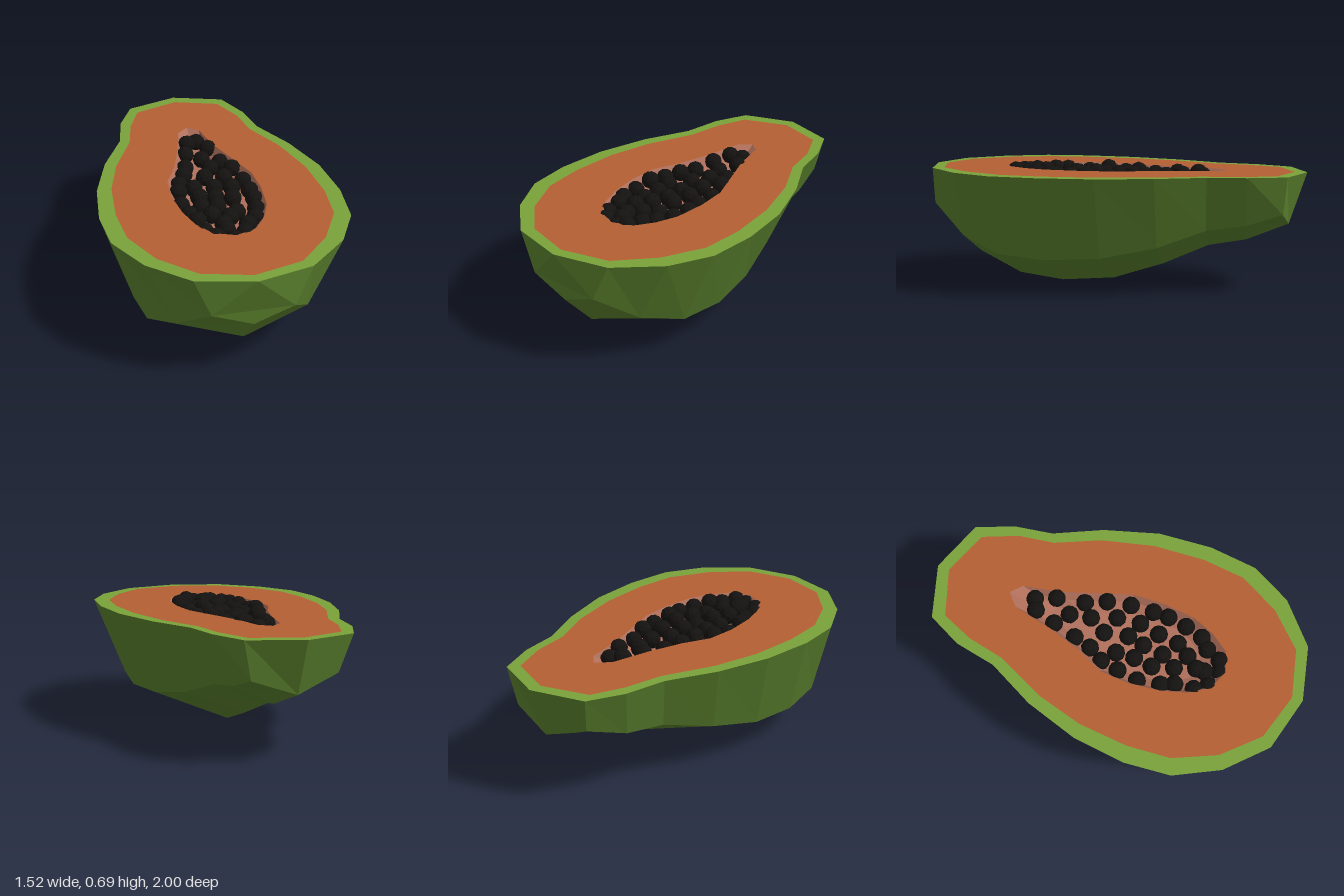
import * as THREE from 'three';

// Height of the cut face, which tips very slightly towards the neck
const cutY = (x, z) => 0.658 + 0.004 * x + 0.006 * z;

const material = (color, extra = {}) =>
  new THREE.MeshStandardMaterial({ color, flatShading: true, ...extra });

function addMesh(group, name, geometry, mat) {
  const mesh = new THREE.Mesh(geometry, mat);
  mesh.name = name;
  group.add(mesh);
  return mesh;
}

// Joins neighbouring cross-sections with triangles, skipping collapsed ones
function loft(sections, caps = []) {
  const pos = [];
  const tri = (a, b, c) => {
    const [A, B, C] = [a, b, c].map((p) => new THREE.Vector3(...p));
    if (B.sub(A).cross(C.sub(A)).length() > 1e-6) pos.push(...a, ...b, ...c);
  };
  for (let i = 0; i < sections.length - 1; i++) {
    for (let j = 0; j < sections[i].length - 1; j++) {
      const a = sections[i][j], b = sections[i][j + 1];
      const c = sections[i + 1][j + 1], d = sections[i + 1][j];
      tri(a, b, c);
      tri(a, c, d);
    }
  }
  for (const cap of caps) {
    for (let j = 1; j < cap.length - 1; j++) tri(cap[0], cap[j], cap[j + 1]);
  }
  const geometry = new THREE.BufferGeometry();
  geometry.setAttribute('position', new THREE.Float32BufferAttribute(pos, 3));
  geometry.computeVertexNormals();
  return geometry;
}

// Flat piece of the cut face, bounded by an outline and a hole of [x, z] points
function cutFace(outline, hole) {
  const toPoints = (list) => list.map(([x, z]) => new THREE.Vector2(x, -z));
  const shape = new THREE.Shape(toPoints(outline));
  shape.holes.push(new THREE.Path(toPoints(hole)));
  const geometry = new THREE.ShapeGeometry(shape).rotateX(-Math.PI / 2);
  const p = geometry.attributes.position;
  for (let i = 0; i < p.count; i++) p.setY(i, cutY(p.getX(i), p.getZ(i)));
  return geometry;
}

export function createModel() {
  const group = new THREE.Group();
  group.name = 'halvedFruit';

  // Cut edge on each side, from the round front end to the neck
  const edgeLeft = [[0.43, 0.92], [0.66, 0.72], [0.76, 0.45], [0.76, 0.2], [0.66, -0.05],
    [0.5, -0.3], [0.28, -0.52], [0.05, -0.69], [-0.08, -0.86], [-0.25, -1]];
  const edgeRight = [[0.13, 0.995], [-0.14, 0.92], [-0.36, 0.77], [-0.5, 0.56], [-0.61, 0.29],
    [-0.67, -0.01], [-0.68, -0.3], [-0.75, -0.52], [-0.76, -0.73], [-0.55, -0.95]];

  // Lower part of each cross-section: left shoulder, keel, right shoulder
  const nose = [0.21, 0.45, 0.96], stem = [-0.5, 0.365, -0.87];
  const belly = [
    [nose, nose, nose],
    [[0.59, 0.46, 0.78], [0.4, 0.37, 0.865], [0, 0.3, 0.865]],
    [[0.61, 0.3, 0.54], [0.31, 0.155, 0.7], [-0.19, 0.22, 0.76]],
    [[0.6, 0.22, 0.29], [0.2, 0.035, 0.49], [-0.33, 0.19, 0.56]],
    [[0.5, 0.2, 0.04], [0.08, 0, 0.27], [-0.44, 0.2, 0.31]],
    [[0.33, 0.21, -0.2], [-0.05, 0.025, 0], [-0.53, 0.27, 0.02]],
    [[0.13, 0.265, -0.43], [-0.17, 0.12, -0.26], [-0.57, 0.35, -0.27]],
    [[-0.06, 0.355, -0.62], [-0.28, 0.235, -0.49], [-0.65, 0.38, -0.49]],
    [[-0.17, 0.385, -0.8], [-0.37, 0.275, -0.68], [-0.69, 0.45, -0.71]],
    [[-0.28, 0.445, -0.96], stem, stem],
  ];
  const onCut = ([x, z]) => [x, cutY(x, z), z];
  const hull = belly.map((low, i) => [onCut(edgeLeft[i]), ...low, onCut(edgeRight[i])]);
  const last = hull[hull.length - 1];
  const caps = [[hull[0][4], nose, hull[0][0]], [last[0], last[1], stem, last[4]]];
  addMesh(group, 'skin', loft(hull, caps), material(0x5a802d));

  // Pale rind band, flesh and the opening of the seed cavity
  const outline = [...edgeLeft, ...[...edgeRight].reverse()];
  const fleshEdge = [[0.4, 0.87], [0.6, 0.69], [0.67, 0.45], [0.67, 0.2], [0.58, -0.02],
    [0.43, -0.26], [0.23, -0.48], [0.02, -0.64], [-0.1, -0.8], [-0.26, -0.93],
    [-0.52, -0.89], [-0.7, -0.69], [-0.68, -0.5], [-0.62, -0.3], [-0.6, 0],
    [-0.54, 0.25], [-0.43, 0.5], [-0.3, 0.7], [-0.1, 0.85], [0.14, 0.925]];
  const cavityLeft = [[-0.27, -0.55], [-0.15, -0.4], [0, -0.26], [0.15, -0.12], [0.24, 0.03],
    [0.31, 0.2], [0.325, 0.33], [0.31, 0.45], [0.23, 0.54]];
  const cavityRight = [[-0.35, -0.57], [-0.38, -0.48], [-0.32, -0.27], [-0.28, -0.07],
    [-0.27, 0.1], [-0.2, 0.25], [-0.1, 0.39], [0, 0.49], [0.11, 0.55]];
  const opening = [...cavityLeft, ...[...cavityRight].reverse()];
  addMesh(group, 'rind', cutFace(outline, fleshEdge), material(0x7aa23a));
  addMesh(group, 'flesh', cutFace(fleshEdge, opening), material(0xb55f33));

  // Hollow: the opening shrinks towards its middle as it goes down
  const rings = [[1, 0], [0.9, 0.05], [0.7, 0.09], [0, 0.11]].map(([s, depth]) =>
    [...opening, opening[0]].map(([x, z]) => {
      const px = 0.02 + (x - 0.02) * s, pz = 0.1 + (z - 0.1) * s;
      return [px, cutY(px, pz) - depth, pz];
    }));
  addMesh(group, 'seedCavity', loft(rings), material(0xb0705c, { side: THREE.DoubleSide }));

  // Seeds in staggered rows across the hollow, more where it is wider
  const seeds = new THREE.Group();
  seeds.name = 'seeds';
  group.add(seeds);
  let state = 7;
  const random = () => (state = (state * 16807) % 2147483647) / 2147483647;
  const at = (list, t) => {
    const i = Math.min(Math.floor(t), list.length - 2), f = t - i;
    return [0, 1].map((k) => list[i][k] * (1 - f) + list[i + 1][k] * f);
  };
  const seedGeometry = new THREE.IcosahedronGeometry(0.05, 1);
  const seedMaterial = material(0x141210);
  const rows = 12;
  for (let r = 0; r < rows; r++) {
    const t = 0.65 + (r / (rows - 1)) * 6.95;
    const a = at(cavityLeft, t), b = at(cavityRight, t);
    const count = Math.max(1, Math.floor(Math.hypot(a[0] - b[0], a[1] - b[1]) / 0.098));
    for (let k = 0; k < count; k++) {
      const f = (k + 0.5 + (random() - 0.5) * 0.2) / count;
      const x = a[0] + (b[0] - a[0]) * f;
      const z = a[1] + (b[1] - a[1]) * f + (random() - 0.5) * 0.04;
      const seed = addMesh(seeds, 'seed', seedGeometry, seedMaterial);
      seed.position.set(x, 0.615 + random() * 0.023, z);
      seed.rotation.set(random() * 3, random() * 3, 0);
    }
  }
  return group;
}
